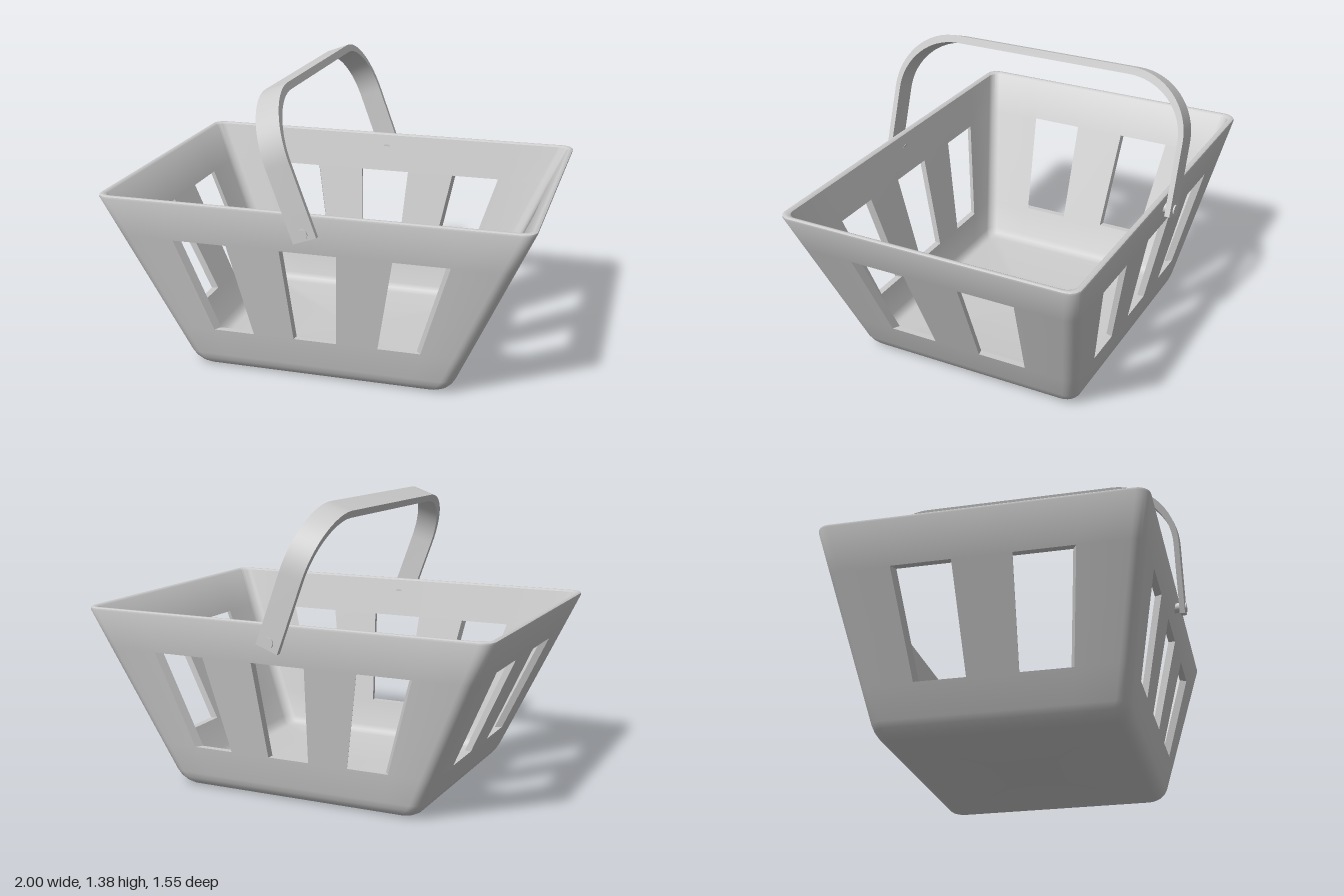
import * as THREE from 'three';
import { toCreasedNormals } from 'three/addons/utils/BufferGeometryUtils.js';

const material = new THREE.MeshStandardMaterial({ color: 0xcccccc });
const ARC = 6; // segments per rounded corner

// Window edges as fractions of the half width of a wall; every other gap is open
const LONG_STOPS = [-0.7, -0.42, -0.145, 0.145, 0.42, 0.7];
const SHORT_STOPS = [-0.586, -0.193, 0.193, 0.586];

// Rounded rectangle at height y, inset from the sloping outer wall
function ring(y, inset, r) {
  const hx = 0.61 + 0.455 * y - inset;
  const hz = 0.557 + 0.207 * y - inset;
  const points = [];
  for (let k = 0; k < 4; k++) {
    const [along, out] = k % 2 ? [hz, hx] : [hx, hz];
    const stops = k % 2 ? SHORT_STOPS : LONG_STOPS;
    const add = (a, o, open) => {
      const [x, z] = [[a, o], [o, -a], [-a, -o], [-o, a]][k];
      points.push({ p: [x, y, z], open });
    };
    stops.forEach((f, i) => add(f * along, out, i % 2 === 0));
    for (let i = 0; i <= ARC; i++) {
      const t = (i / ARC) * Math.PI / 2;
      add(along - r + r * Math.sin(t), out - r + r * Math.cos(t), false);
    }
  }
  return points;
}

function basketGeometry() {
  // Height, inset and corner radius: up the outside, over the rim, down the inside
  const rings = [
    [0, 0.05, 0.05], [0.006, 0.03, 0.055], [0.02, 0.014, 0.06], [0.042, 0.004, 0.06], [0.07, 0, 0.06],
    [0.21, 0, 0.06], [0.67, 0, 0.06],
    [0.852, 0, 0.06], [0.861, 0.004, 0.06], [0.865, 0.011, 0.055],
    [0.865, 0.022, 0.05], [0.858, 0.031, 0.05],
    [0.67, 0.032, 0.05], [0.21, 0.032, 0.05],
    [0.075, 0.032, 0.05], [0.05, 0.037, 0.05], [0.038, 0.05, 0.045], [0.035, 0.065, 0.04],
  ].map(([y, inset, r]) => ring(y, inset, r));
  const [OUT_LOW, OUT_HIGH, IN_HIGH, IN_LOW] = [5, 6, 12, 13];
  const n = rings[0].length;
  const pos = [];
  const tri = (a, b, c) => pos.push(...a, ...b, ...c);
  const quad = (a, b, c, d) => { tri(a, b, c); tri(a, c, d); };

  // Walls, leaving the windows open
  for (let i = 0; i < rings.length - 1; i++) {
    for (let j = 0; j < n; j++) {
      if ((i === OUT_LOW || i === IN_HIGH) && rings[i][j].open) continue;
      const k = (j + 1) % n;
      quad(rings[i][j].p, rings[i][k].p, rings[i + 1][k].p, rings[i + 1][j].p);
    }
  }
  // Window jambs through the wall thickness
  for (let j = 0; j < n; j++) {
    if (!rings[0][j].open) continue;
    const loop = (low, high) => [rings[low][j].p, rings[low][j + 1].p, rings[high][j + 1].p, rings[high][j].p];
    const outer = loop(OUT_LOW, OUT_HIGH);
    const inner = loop(IN_LOW, IN_HIGH);
    for (let e = 0; e < 4; e++) {
      const f = (e + 1) % 4;
      quad(outer[e], outer[f], inner[f], inner[e]);
    }
  }
  // Underside and floor
  const last = rings[rings.length - 1];
  for (let j = 0; j < n; j++) {
    const k = (j + 1) % n;
    tri([0, 0, 0], rings[0][k].p, rings[0][j].p);
    tri([0, 0.035, 0], last[j].p, last[k].p);
  }
  const geometry = new THREE.BufferGeometry();
  geometry.setAttribute('position', new THREE.Float32BufferAttribute(pos, 3));
  return toCreasedNormals(geometry, 0.7);
}

// Flat band bent into an arch, extruded across its width
function handleGeometry() {
  const width = 0.112;
  const arch = (half, top, rz, ry) => {
    const pts = [[half, 0]];
    for (let i = 0; i <= 16; i++) {
      const t = (i / 16) * Math.PI / 2;
      pts.push([half - rz + rz * Math.cos(t), top - ry + ry * Math.sin(t)]);
    }
    return [...pts, ...pts.map(([z, v]) => [-z, v]).reverse()];
  };
  const outline = [...arch(0.767, 0.646, 0.3, 0.3), ...arch(0.742, 0.611, 0.285, 0.27).reverse()];
  const shape = new THREE.Shape(outline.map(([z, v]) => new THREE.Vector2(z, v)));
  const geometry = new THREE.ExtrudeGeometry(shape, { depth: width, bevelEnabled: false });
  geometry.translate(0, 0, -width / 2);
  geometry.rotateY(-Math.PI / 2);
  return toCreasedNormals(geometry, 0.6);
}

export function createModel() {
  const model = new THREE.Group();
  model.name = 'shoppingBasket';
  const add = (parent, name, geometry) => {
    const mesh = new THREE.Mesh(geometry, material);
    mesh.name = name;
    parent.add(mesh);
    return mesh;
  };

  add(model, 'basket', basketGeometry());

  // Handle leaning to one side on its pivots
  const handle = new THREE.Group();
  handle.name = 'handle';
  handle.position.set(0.0125, 0.755, 0);
  handle.rotation.z = THREE.MathUtils.degToRad(20);
  model.add(handle);
  add(handle, 'handleBand', handleGeometry());
  for (const side of [1, -1]) {
    const pin = add(handle, side > 0 ? 'frontPivot' : 'backPivot', new THREE.CylinderGeometry(0.024, 0.024, 0.083, 20));
    pin.rotation.x = Math.PI / 2;
    pin.position.set(0, 0.032, side * 0.7325);
  }
  return model;
}
